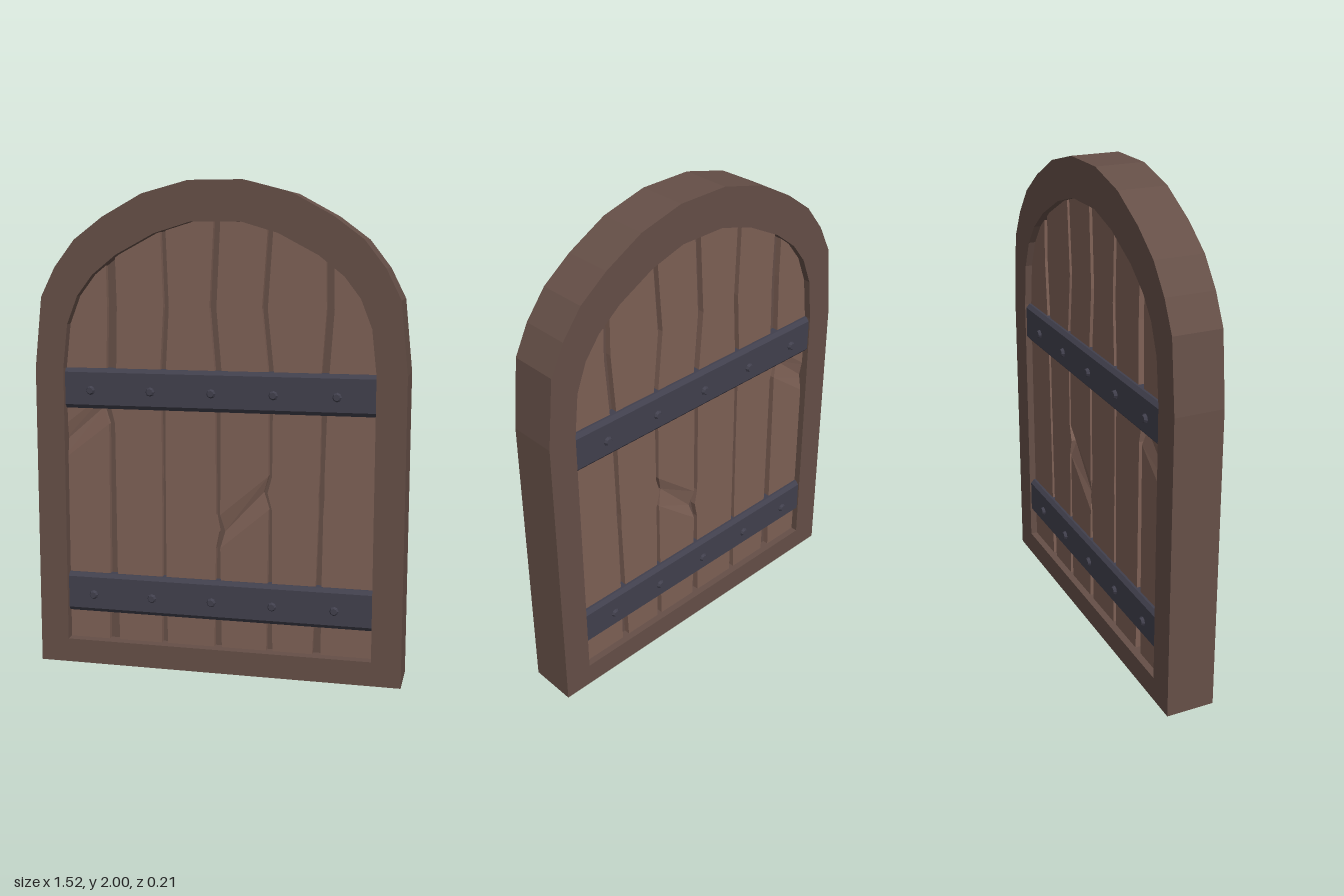
import * as THREE from 'three';

const mat = (color) => new THREE.MeshStandardMaterial({ color, flatShading: true });
const frameMat = mat(0x654f47), plankMat = mat(0x7d6055), ironMat = mat(0x41404d);

// Right halves of the arched outlines, bottom to top
const outer = [[0.76, 0], [0.76, 1.25], [0.73, 1.54], [0.67, 1.66], [0.585, 1.77], [0.465, 1.86], [0.3, 1.95], [0.11, 2]];
const inner = [[0.64, 0.1], [0.64, 1.25], [0.62, 1.43], [0.575, 1.545], [0.51, 1.63], [0.41, 1.71], [0.25, 1.795], [0.1, 1.84]];

function archPoints(half) {
  const left = half.map(([x, y]) => [-x, y]).reverse();
  return [...half, ...left].map(([x, y]) => new THREE.Vector2(x, y));
}

function extrude(shape, depth) {
  const g = new THREE.ExtrudeGeometry(shape, { depth, bevelEnabled: false });
  return g.translate(0, 0, -depth / 2);
}

function add(parent, name, geometry, material) {
  const m = new THREE.Mesh(geometry, material);
  m.name = name;
  parent.add(m);
  return m;
}

// Worn gaps between planks; the first and last are the hidden outer edges
const gaps = [
  { x: -0.68, half: 0, chipY: 0.92, kink: 0, bend: 0, lean: 0, top: 1.5 },
  { x: -0.447, half: 0.016, chipY: 1.09, kink: -0.02, bend: 0.006, lean: 0, top: 1.79 },
  { x: -0.227, half: 0.009, chipY: 0.75, kink: 0, bend: 0.014, lean: 0, top: 1.89 },
  { x: 0.002, half: 0.011, chipY: 0.59, kink: 0.016, bend: -0.021, lean: 0, top: 1.93 },
  { x: 0.218, half: 0.009, chipY: 0.76, kink: -0.02, bend: -0.026, lean: 0, top: 1.89 },
  { x: 0.411, half: 0.012, chipY: 0.75, kink: 0, bend: 0.012, lean: 0.02, top: 1.79 },
  { x: 0.68, half: 0, chipY: 0.75, kink: 0, bend: 0, lean: 0, top: 1.5 },
];

// One edge of a gap (side -1 left, 1 right) as points from bottom to top
function gapEdge({ x, half, chipY, kink, bend, lean, top }, side) {
  const rows = [
    [0.05, 0, 1.5], [0.4, 0, 1], [chipY - 0.07, 0, 0.8], [chipY, kink, 1], [chipY + 0.07, 0, 0.8],
    [1.18, 0, 1], [1.25, 0, 1.3], [Math.min(1.5, top - 0.1), bend, 1.3], [top, 0, 1.2],
  ];
  return rows.map(([y, shift, widen]) => [x + lean * y + shift + side * half * widen, y]);
}

// One plank lofted between two gaps; row 3 may be dented by a chip
function plankGeometry(gapL, gapR, chip) {
  const left = gapEdge(gapL, 1), right = gapEdge(gapR, -1);
  const pos = [], index = [];
  left.forEach(([xl, yl], r) => {
    const [xr, yr] = right[r];
    const z = 0.065 - (r === 3 ? chip : 0);
    pos.push(xl, yl, z, xr, yr, z, xr, yr, -z, xl, yl, -z);
    if (r === 0) return;
    for (let k = 0; k < 4; k++) {
      const n = (k + 1) % 4, lo = (r - 1) * 4, hi = r * 4;
      index.push(lo + k, lo + n, hi + n, lo + k, hi + n, hi + k);
    }
  });
  const g = new THREE.BufferGeometry();
  g.setAttribute('position', new THREE.Float32BufferAttribute(pos, 3));
  g.setIndex(index);
  const flat = g.toNonIndexed();
  flat.computeVertexNormals();
  return flat;
}

// Iron strap running through the door, bevelled on both faces
function strapGeometry() {
  const h = 0.083, b = 0.067, z = 0.088, zb = 0.074;
  const pts = [[z, -b], [z, b], [zb, h], [-zb, h], [-z, b], [-z, -b], [-zb, -h], [zb, -h]];
  const shape = new THREE.Shape(pts.map(([x, y]) => new THREE.Vector2(x, y)));
  return extrude(shape, 1.284).rotateY(Math.PI / 2);
}

// Rivet with a tapered head on each face
function rivetGeometry() {
  const pts = [[0, -0.1], [0.013, -0.1], [0.019, -0.09], [0.019, 0.09], [0.013, 0.1], [0, 0.1]];
  return new THREE.LatheGeometry(pts.map(([x, y]) => new THREE.Vector2(x, y)), 8).rotateX(Math.PI / 2);
}

export function createModel() {
  const model = new THREE.Group();
  model.name = 'archedDoor';

  // Arched frame around the opening
  const ring = new THREE.Shape(archPoints(outer));
  ring.holes.push(new THREE.Path(archPoints(inner)));
  add(model, 'frame', extrude(ring, 0.2), frameMat);

  // Door leaf, set slightly towards the back
  const door = new THREE.Group();
  door.name = 'door';
  door.position.z = -0.006;
  model.add(door);

  // Thin core seen through the gaps
  add(door, 'core', extrude(new THREE.Shape(archPoints(inner)), 0.08), frameMat);

  const chips = [0.012, 0, 0, 0.015, 0, 0];
  chips.forEach((chip, i) => add(door, `plank${i + 1}`, plankGeometry(gaps[i], gaps[i + 1], chip), plankMat));

  // Straps with a row of rivets each
  for (const [name, y] of [['lower', 0.302], ['upper', 1.167]]) {
    add(door, `${name}Strap`, strapGeometry(), ironMat).position.y = y;
    for (let i = 0; i < 5; i++) {
      add(door, `${name}Rivet${i + 1}`, rivetGeometry(), ironMat)
        .position.set(-0.53 + i * 0.254, y - 0.007, 0);
    }
  }
  return model;
}
